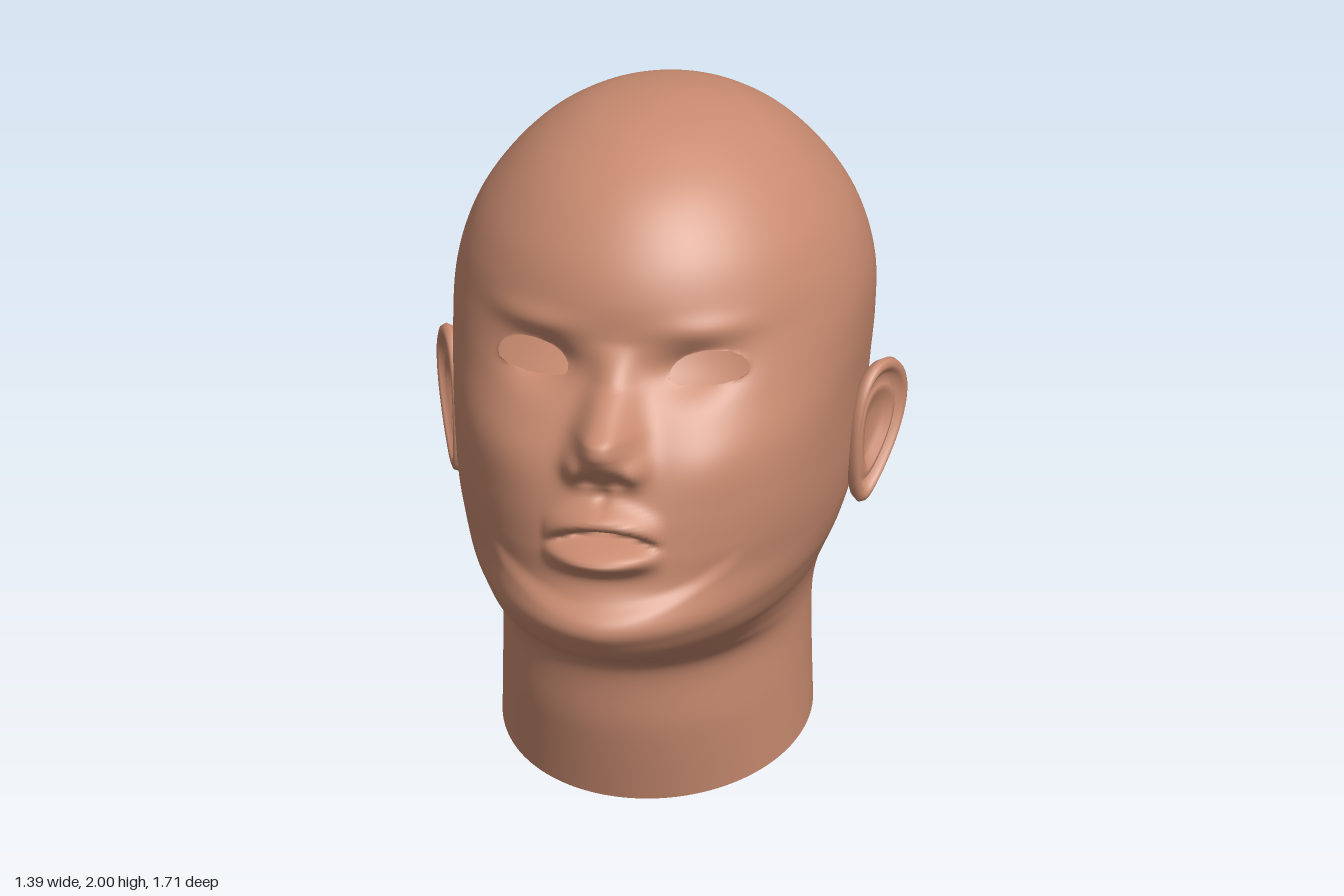
import * as THREE from 'three';

const { smoothstep, lerp } = THREE.MathUtils;
const bump = (x, y, cx, cy, sx, sy) => Math.exp(-(((x - cx) / sx) ** 2) - ((y - cy) / sy) ** 2);

// Loops from neck to crown: front y, front z, back y, back z, half width, centre z, squareness.
// The last one mirrors its neighbour through the pole, to round off the crown.
const LOOPS = [
  [0, 0.40, 0.30, -0.39, 0.45, 0, 2],
  [0.22, 0.445, 0.43, -0.39, 0.446, 0, 2],
  [0.42, 0.47, 0.54, -0.405, 0.445, 0, 2],
  [0.49, 0.58, 0.62, -0.45, 0.452, 0, 1.95],
  [0.535, 0.70, 0.69, -0.51, 0.468, 0, 1.88],
  [0.57, 0.785, 0.74, -0.565, 0.487, 0, 1.85],
  [0.62, 0.825, 0.78, -0.62, 0.507, 0, 1.85],
  [0.68, 0.84, 0.82, -0.68, 0.527, 0, 1.87],
  [0.78, 0.79, 0.89, -0.745, 0.551, -0.02, 1.97],
  [0.88, 0.775, 0.98, -0.79, 0.566, -0.05, 2.12],
  [1.00, 0.755, 1.08, -0.825, 0.575, -0.08, 2.26],
  [1.15, 0.71, 1.20, -0.845, 0.585, -0.1, 2.33],
  [1.30, 0.63, 1.32, -0.852, 0.598, -0.1, 2.2],
  [1.45, 0.575, 1.45, -0.842, 0.60, -0.1, 2.05],
  [1.58, 0.555, 1.58, -0.795, 0.572, -0.1, 2],
  [1.70, 0.50, 1.70, -0.715, 0.517, -0.1, 2],
  [1.82, 0.40, 1.82, -0.60, 0.425, -0.1, 2],
  [1.91, 0.27, 1.91, -0.475, 0.32, -0.1, 2],
  [1.972, 0.12, 1.972, -0.325, 0.19, -0.1, 2],
  [2.00, -0.1, 2.00, -0.1, 0, -0.1, 2],
  [1.972, -0.325, 1.972, 0.12, -0.19, -0.1, 2],
];
const SPANS = LOOPS.length - 2;

// Height of the nose ridge above the face, by y
const NOSE = [[1.06, 0], [1.1, 0.025], [1.13, 0.065], [1.16, 0.11], [1.2, 0.152], [1.235, 0.168], [1.28, 0.115], [1.35, 0.04], [1.46, 0]];

// Smooth interpolation along the loops
function loopAt(t) {
  const i = Math.min(Math.floor(t), SPANS - 1), f = t - i;
  return LOOPS[0].map((_, c) => {
    const [a, b, d, e] = [Math.max(i - 1, 0), i, i + 1, i + 2].map((n) => LOOPS[n][c]);
    return b + 0.5 * f * (d - a + f * (2 * a - 5 * b + 4 * d - e + f * (3 * (b - d) + e - a)));
  });
}

function noseHeight(y) {
  for (let i = 1; i < NOSE.length; i++) {
    const [y0, h0] = NOSE[i - 1], [y1, h1] = NOSE[i];
    if (y >= y0 && y <= y1) return lerp(h0, h1, (y - y0) / (y1 - y0));
  }
  return 0;
}

// Forward relief of the face
function relief(x, y) {
  const ax = Math.abs(x);
  const noseWidth = lerp(0.088, 0.055, smoothstep(y, 1.18, 1.42));
  let d = noseHeight(y) * Math.exp(-((ax / noseWidth) ** 2.6));
  d += 0.04 * bump(ax, y, 0.092, 1.135, 0.036, 0.042); // nostril wings
  d -= 0.012 * bump(ax, y, 0.045, 1.1, 0.024, 0.018); // nostrils
  d -= 0.07 * bump(ax, y, 0.21, 1.375, 0.11, 0.065); // eye sockets
  d += 0.02 * bump(ax, y, 0.27, 1.5, 0.14, 0.04); // brows
  d += 0.012 * bump(ax, y, 0.3, 1.12, 0.12, 0.1); // cheeks
  // Lips curve down to the corners, with the open mouth between them
  const span = Math.max(0, 1 - (ax / 0.185) ** 2), sag = 1.6 * x * x;
  d += 0.068 * span * bump(0, y, 0, 0.992 - sag, 1, 0.036);
  d += 0.085 * span * bump(0, y, 0, 0.877 + 0.3 * x * x, 1, 0.038);
  d -= 0.06 * span * bump(0, y, 0, 0.938 - 0.7 * sag, 1, 0.018);
  d -= 0.01 * bump(x, y, 0, 1.05, 0.02, 0.03); // groove above the lip
  // Crescent ledge over the jaw
  const ledge = 0.69 + 0.95 * x * x;
  d += 0.016 * (1 - smoothstep(y, ledge, ledge + 0.06)) * smoothstep(y, 0.56, 0.68) * (1 - smoothstep(ax, 0.32, 0.4));
  return d;
}

// Below 1 inside the almond eye opening, which rises a little outward
const EYE = { x: 0.26, y: 1.367 };
function eyeRadius(x, y) {
  const dx = Math.abs(x) - EYE.x;
  const dy = y - EYE.y - 0.06 * dx;
  return Math.hypot(dx / 0.112, dy / (dy > 0 ? 0.07 : 0.03));
}

// Surface from closed loops; quads with only open corners are left out
function loft(rows, cols, point) {
  const pos = [], open = [], index = [];
  for (let i = 0; i < rows; i++) {
    for (let j = 0; j < cols; j++) {
      const p = point(i, j);
      open.push(p.open);
      pos.push(p.x, p.y, p.z);
    }
  }
  for (let i = 0; i < rows - 1; i++) {
    for (let j = 0; j < cols; j++) {
      const k = (j + 1) % cols;
      const [a, b, c, d] = [i * cols + j, i * cols + k, (i + 1) * cols + k, (i + 1) * cols + j];
      if (open[a] && open[b] && open[c] && open[d]) continue;
      index.push(a, b, c, a, c, d);
    }
  }
  const g = new THREE.BufferGeometry();
  g.setAttribute('position', new THREE.Float32BufferAttribute(pos, 3));
  g.setIndex(index);
  g.computeVertexNormals();
  return g;
}

function headGeometry() {
  const rows = 229, cols = 200;
  return loft(rows, cols, (i, j) => {
    const [yf, zf, yb, zb, w, c, n] = loopAt((i / (rows - 1)) * SPANS);
    const t = (j / cols) * Math.PI * 2;
    const a = t - 0.45 * Math.sin(t); // closer columns on the face
    const s = Math.sin(a), co = Math.cos(a), front = co > 0;
    const e = front ? n : 2;
    const r = (Math.abs(s) ** e + Math.abs(co) ** e) ** (-1 / e);
    let x = w * s * r;
    let z = c + co * r * (front ? zf - c : c - zb);
    let y = zf - zb > 1e-4 ? lerp(yb, yf, (z - zb) / (zf - zb)) : yf;
    const q = eyeRadius(x, y);
    const open = front && z > 0.2 && q < 1;
    if (open) { // pull the corner onto the eyelid edge
      const k = Math.max(q, 0.1), x1 = Math.sign(x) * (EYE.x + (Math.abs(x) - EYE.x) / k);
      z -= 0.45 * (Math.abs(x1) - Math.abs(x));
      x = x1;
      y = EYE.y + (y - EYE.y) / k;
    }
    if (front) z += relief(x, y) * smoothstep(z, 0.25, 0.45);
    return { x, y, z, open };
  });
}

// Ear rings from the root behind, over the rim, into the bowl: radius, height
const EAR = [[0.5, -0.12], [0.72, -0.05], [0.94, -0.022], [1, 0], [0.97, 0.015], [0.9, 0.02], [0.83, 0.014],
  [0.74, -0.008], [0.64, 0.004], [0.54, 0.006], [0.42, -0.014], [0.2, -0.018], [0, -0.018]];

function earGeometry(side) {
  const cols = 48;
  const up = new THREE.Vector3(0.15, 0.93, -0.3).normalize();
  const back = new THREE.Vector3(0.4, 0, -0.92);
  back.addScaledVector(up, -back.dot(up)).normalize();
  const out = new THREE.Vector3().crossVectors(back, up);
  return loft(EAR.length, cols, (i, j) => {
    const a = side * (j / cols) * Math.PI * 2;
    const [r, h] = EAR[i];
    const v = Math.sin(a);
    const u = Math.cos(a) * (0.108 + 0.042 * v); // broad top, narrow lobe
    const p = new THREE.Vector3(0.622, 1.01, -0.078)
      .addScaledVector(back, u * r)
      .addScaledVector(up, 0.215 * v * r)
      .addScaledVector(out, h);
    p.x *= side;
    return p;
  });
}

export function createModel() {
  const skin = new THREE.MeshStandardMaterial({ color: 0xc98b70, side: THREE.DoubleSide });
  skin.name = 'skin';
  const model = new THREE.Group();
  model.name = 'headBust';
  const add = (name, geometry) => {
    const mesh = new THREE.Mesh(geometry, skin);
    mesh.name = name;
    model.add(mesh);
  };
  add('headAndNeck', headGeometry());
  add('leftEar', earGeometry(1));
  add('rightEar', earGeometry(-1));
  return model;
}
